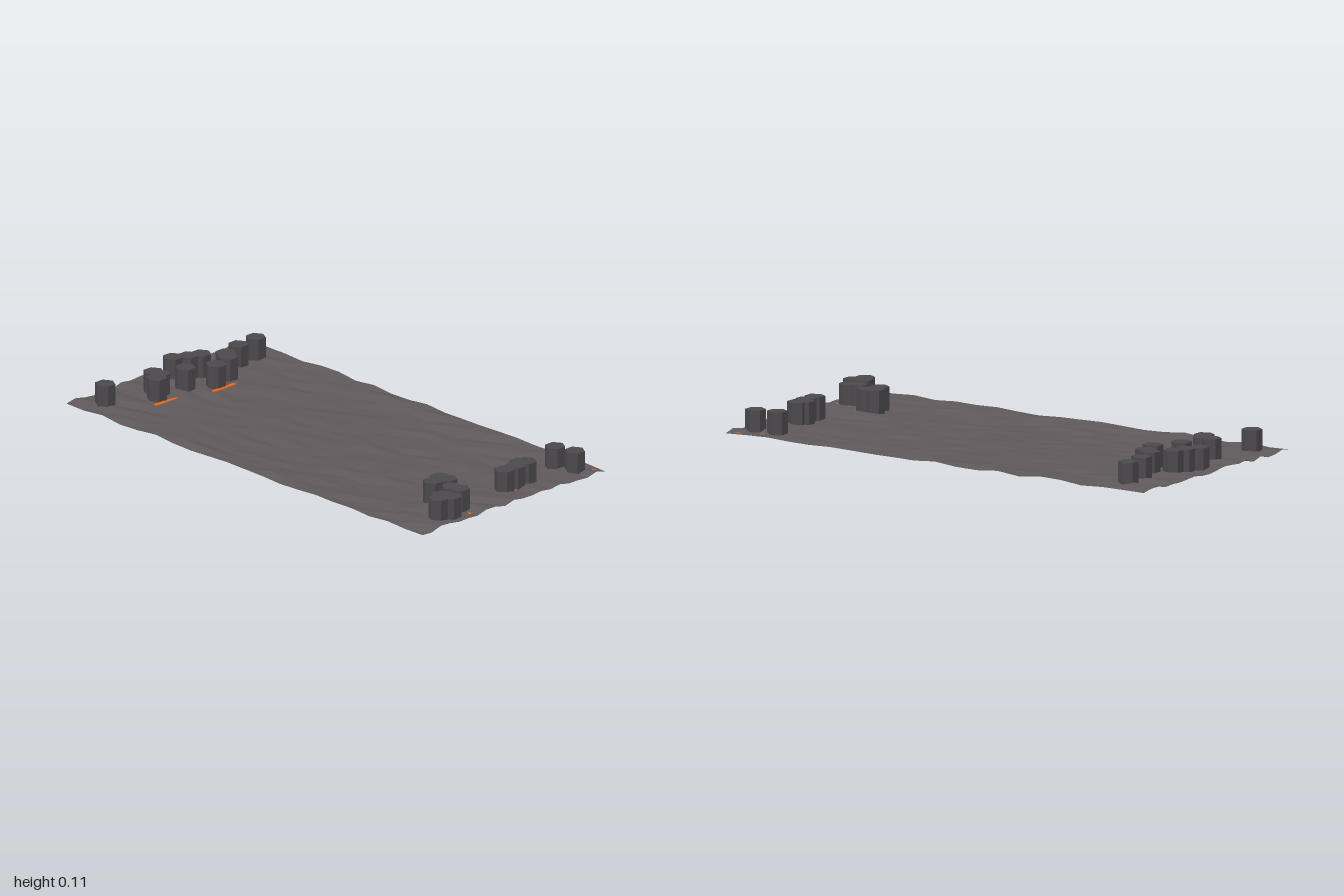
import * as THREE from 'three';

const rockMat = new THREE.MeshStandardMaterial({ color: 0x5f585a, flatShading: true, side: THREE.DoubleSide });
const basaltMat = new THREE.MeshStandardMaterial({ color: 0x4c494d, flatShading: true });
const lavaMat = new THREE.MeshStandardMaterial({ color: 0xe06a1a });

// small seeded random generator
function seeded(seed) {
  return () => {
    seed = (seed * 1664525 + 1013904223) % 4294967296;
    return seed / 4294967296;
  };
}

// uneven ground sheet: low in the middle, rising a little toward the rim
function makeGround() {
  const geo = new THREE.PlaneGeometry(2, 1, 20, 20);
  geo.rotateX(-Math.PI / 2);
  const rand = seeded(11);
  const p = geo.attributes.position;
  for (let i = 0; i < p.count; i++) {
    const x = p.getX(i), z = p.getZ(i);
    const rimX = THREE.MathUtils.smoothstep(Math.abs(x), 0.6, 0.85);
    const rimZ = THREE.MathUtils.smoothstep(Math.abs(z), 0.28, 0.5);
    const rise = Math.max(rimX, rimZ * 0.8);
    const bump = 0.010 + 0.007 * rise;
    p.setY(i, 0.001 + 0.012 * rise + bump * rand());
  }
  const ground = new THREE.Mesh(geo, rockMat);
  ground.name = 'ground';
  return ground;
}

// hexagonal stone columns in clusters along both ends: [x, z]
const leftEnd = [
  [0.83, -0.39], [0.92, -0.41], [0.87, -0.195], [0.855, -0.17], [0.875, -0.13],
  [0.875, -0.07], [0.755, 0.165], [0.79, 0.16], [0.77, 0.22], [0.865, 0.21],
  [0.9, 0.2], [0.94, 0.285], [0.9, 0.3], [0.92, 0.335],
];
const rightEnd = [
  [-0.845, -0.385], [-0.835, -0.28], [-0.805, -0.18], [-0.765, -0.155], [-0.74, -0.065],
  [-0.865, -0.105], [-0.885, -0.055], [-0.915, 0], [-0.8, 0.045],
  [-0.855, 0.165], [-0.82, 0.165], [-0.795, 0.205], [-0.89, 0.395],
];

function makeColumns(name, spots) {
  const group = new THREE.Group();
  group.name = name;
  const bottom = 0.01, top = 0.107;
  const geo = new THREE.CylinderGeometry(0.041, 0.041, top - bottom, 6);
  for (const [x, z] of spots) {
    const column = new THREE.Mesh(geo, basaltMat);
    column.name = 'column';
    column.position.set(x, (top + bottom) / 2, z);
    group.add(column);
  }
  return group;
}

// glowing seams running through the ground around the columns: [x, z, length]
const seams = [
  [-0.70, -0.07, 0.12], [-0.79, 0.14, 0.14], [-0.75, 0.2, 0.12], [-0.84, -0.2, 0.16], [-0.86, 0.36, 0.1],
  [0.87, -0.38, 0.12], [0.96, -0.43, 0.1], [0.9, -0.17, 0.16], [0.86, -0.06, 0.12],
  [0.82, 0.18, 0.12], [0.96, 0.2, 0.12], [0.91, 0.33, 0.14],
];

function makeSeams() {
  const group = new THREE.Group();
  group.name = 'lavaSeams';
  for (const [x, z, length] of seams) {
    const seam = new THREE.Mesh(new THREE.BoxGeometry(0.018, 0.004, length), lavaMat);
    seam.name = 'lavaSeam';
    seam.position.set(x, 0.016, z);
    group.add(seam);
  }
  return group;
}

export function createModel() {
  const model = new THREE.Group();
  model.name = 'basaltField';
  model.add(makeGround(), makeColumns('leftColumns', leftEnd), makeColumns('rightColumns', rightEnd), makeSeams());
  return model;
}
